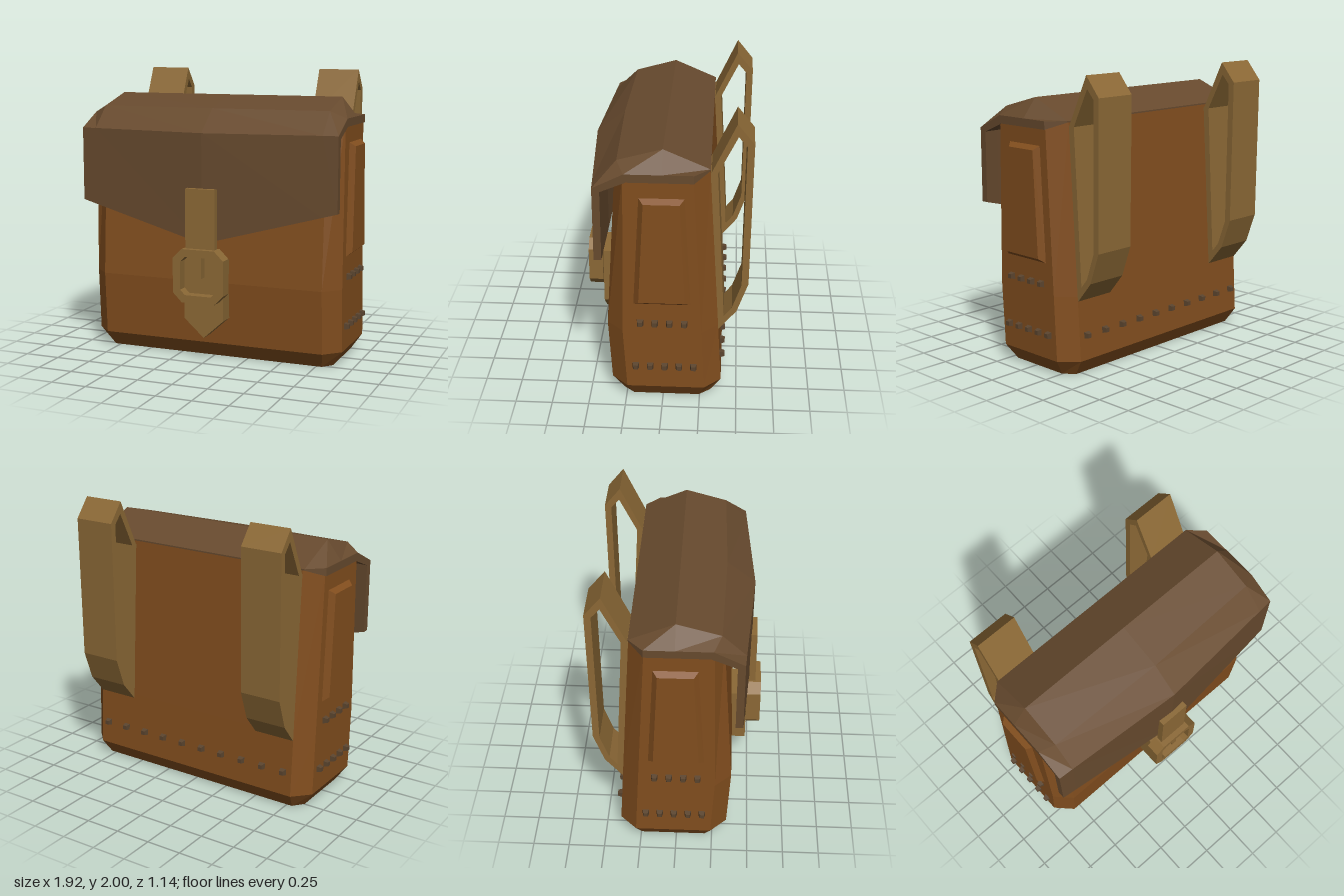
import * as THREE from 'three';

const mat = (name, color) => {
  const m = new THREE.MeshStandardMaterial({ color, flatShading: true });
  m.name = name;
  return m;
};

// Skin a row of equal rings; each ring runs counter-clockwise seen from the loft's end.
function loft(rings) {
  const pos = [];
  const quad = (a, b, c, d) => pos.push(...a, ...b, ...c, ...a, ...c, ...d);
  const n = rings[0].length;
  for (let r = 0; r < rings.length - 1; r++) {
    for (let i = 0; i < n; i++) {
      const j = (i + 1) % n;
      quad(rings[r][i], rings[r][j], rings[r + 1][j], rings[r + 1][i]);
    }
  }
  const first = rings[0], last = rings[rings.length - 1];
  for (let i = 0; i < n / 2 - 1; i++) {
    quad(last[i], last[i + 1], last[n - 2 - i], last[n - 1 - i]);
    quad(first[n - 1 - i], first[n - 2 - i], first[i + 1], first[i]);
  }
  const g = new THREE.BufferGeometry();
  g.setAttribute('position', new THREE.Float32BufferAttribute(pos, 3));
  g.computeVertexNormals();
  return g;
}

const toShape = (pts) => new THREE.Shape(pts.map(([x, y]) => new THREE.Vector2(x, y)));

// Outlines and holes run counter-clockwise.
function extrude(pts, depth, hole) {
  const shape = toShape(pts);
  if (hole) shape.holes.push(toShape(hole));
  return new THREE.ExtrudeGeometry(shape, { depth, bevelEnabled: false });
}

// Rectangle with cut corners
const octagon = (w, h, c, cy) => [
  [-w + c, cy - h], [w - c, cy - h], [w, cy - h + c], [w, cy + h - c],
  [w - c, cy + h], [-w + c, cy + h], [-w, cy + h - c], [-w, cy - h + c],
];

export function createModel() {
  const leather = mat('leather', 0x824e1e);
  const darkLeather = mat('darkLeather', 0x674a2e);
  const strapTan = mat('strapTan', 0x8c6936);
  const metal = mat('studMetal', 0x5a442e);

  const model = new THREE.Group();
  model.name = 'satchel';
  const add = (name, geo, material, parent = model) => {
    const m = new THREE.Mesh(geo, material);
    m.name = name;
    parent.add(m);
    return m;
  };

  // Body: eight-sided rings [y, half width, chamfer x, front z, front chamfer z, back z, back chamfer z]
  const bodyRings = [
    [0, 0.85, 0.79, 0.27, 0.2, -0.32, -0.245],
    [0.11, 0.925, 0.815, 0.35, 0.24, -0.393, -0.28],
    [0.55, 0.925, 0.815, 0.375, 0.265, -0.367, -0.257],
    [1.69, 0.925, 0.815, 0.305, 0.245, -0.298, -0.195],
  ].map(([y, hx, cx, zf, sf, zb, sb]) => [
    [-cx, y, zf], [cx, y, zf], [hx, y, sf], [hx, y, sb],
    [cx, y, zb], [-cx, y, zb], [-hx, y, sb], [-hx, y, sf],
  ]);
  add('body', loft(bodyRings), leather);

  // Flap: shell sections across the width, outer skin then inner skin, as [z, y]
  const edge = [[-0.2, 1.7], [0, 1.7], [0.24, 1.7], [0.44, 1.6], [0.44, 1.09],
    [0.39, 1.09], [0.39, 1.575], [0.225, 1.645], [0, 1.645], [-0.2, 1.645]];
  const shoulder = [[-0.3, 1.7], [0, 1.83], [0.29, 1.75], [0.447, 1.6], [0.447, 1.062],
    [0.397, 1.062], [0.397, 1.575], [0.265, 1.7], [0, 1.78], [-0.3, 1.69]];
  const middle = [[-0.3, 1.7], [0, 1.83], [0.31, 1.75], [0.505, 1.595], [0.495, 0.84],
    [0.445, 0.84], [0.45, 1.57], [0.275, 1.7], [0, 1.78], [-0.3, 1.69]];
  const flapRings = [[-0.935, edge], [-0.83, shoulder], [0, middle], [0.83, shoulder], [0.935, edge]]
    .map(([x, section]) => section.map(([z, y]) => [x, y, z]));
  add('flap', loft(flapRings), darkLeather);

  // Raised side panels and rows of studs
  const panelRing = (top, bottom, wTop, wBottom, z) =>
    [[-wBottom, bottom, z], [wBottom, bottom, z], [wTop, top, z], [-wTop, top, z]];
  const panelGeo = loft([
    panelRing(1.535, 0.765, 0.145, 0.187, -0.01),
    panelRing(1.535, 0.765, 0.145, 0.187, 0),
    panelRing(1.507, 0.793, 0.115, 0.152, 0.037),
  ]);
  const studGeo = new THREE.CylinderGeometry(0.021, 0.033, 0.04, 4)
    .rotateY(Math.PI / 4).rotateX(Math.PI / 2);

  for (const s of [1, -1]) {
    const side = new THREE.Group();
    side.name = s > 0 ? 'leftSideDetails' : 'rightSideDetails';
    side.position.x = s * 0.925;
    side.rotation.y = s * Math.PI / 2;
    model.add(side);
    add('sidePanel', panelGeo, leather, side).position.x = -s * 0.003;
    for (const [y, count, centre] of [[0.62, 4, 0.002], [0.28, 5, -0.014]]) {
      for (let i = 0; i < count; i++) {
        const z = centre + (i - (count - 1) / 2) * 0.097;
        add('sideStud', studGeo, metal, side).position.set(-s * z, y, 0.012);
      }
    }
  }
  for (let i = 0; i < 10; i++) {
    const stud = add('backStud', studGeo, metal);
    stud.position.set((i - 4.5) * 0.167, 0.28, -0.395);
    stud.rotation.y = Math.PI;
  }

  // Shoulder straps: closed loops in side profile [-z, y], extruded along x
  const strapOuter = [[0.36, 0.52], [0.372, 0.52], [0.487, 0.66], [0.56, 0.87],
    [0.57, 1.865], [0.46, 2], [0.305, 1.67], [0.29, 1.66]];
  const strapInner = [[0.403, 0.62], [0.455, 0.685], [0.515, 0.86],
    [0.525, 1.85], [0.468, 1.915], [0.345, 1.665]];
  const strapGeo = extrude(strapOuter, 0.295, strapInner).rotateY(Math.PI / 2);
  for (const x of [0.52, -0.815]) {
    add('shoulderStrap', strapGeo, strapTan).position.x = x;
  }

  // Closure: flap strap, pointed lower tab, buckle frame with backing, and pin
  const box = (w, h, d) => new THREE.BoxGeometry(w, h, d);
  add('closureStrap', box(0.216, 0.46, 0.045), strapTan).position.set(0, 0.99, 0.512);
  const tab = [[-0.145, 0.305], [0, 0.175], [0.145, 0.305], [0.145, 0.715], [-0.145, 0.715]];
  add('lowerTab', extrude(tab, 0.145), strapTan).position.z = 0.33;
  const frame = extrude(octagon(0.185, 0.185, 0.065, 0.625), 0.1, octagon(0.13, 0.133, 0.035, 0.625));
  add('buckleFrame', frame, strapTan).position.z = 0.475;
  add('buckleBacking', extrude(octagon(0.15, 0.15, 0.045, 0.625), 0.02), strapTan).position.z = 0.48;
  add('bucklePin', box(0.04, 0.155, 0.07), strapTan).position.set(0, 0.688, 0.525);

  return model;
}
